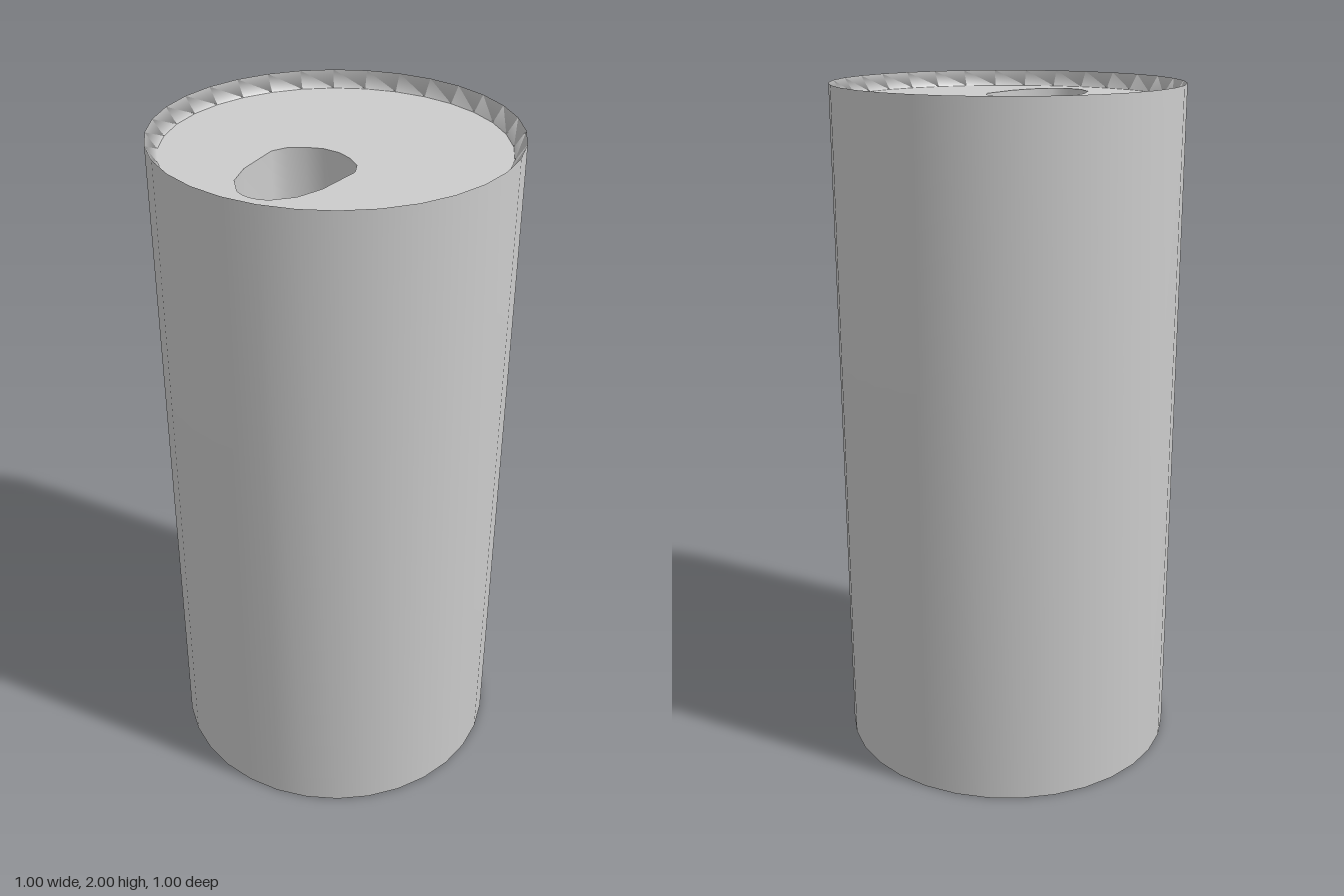
import * as THREE from 'three';

const SIDES = 32, R = 0.5, RIM = 0.47, H = 2, RECESS = 0.045, PIT_DEPTH = 0.8;

// Right half of the drinking opening as [x, z], from back to front
const HALF = [
  [0.025, 0.022], [0.07, 0.04], [0.11, 0.07], [0.13, 0.11], [0.12, 0.245],
  [0.095, 0.32], [0.05, 0.37], [0.025, 0.382],
];

// Full outline, clockwise seen from above
function openingOutline() {
  const mirrored = HALF.map(([x, z]) => [-x, z]).reverse();
  return [...HALF, [0, 0.385], ...mirrored];
}

// Well below the opening: wall ring and floor sharing smooth vertices
function wellGeometry(outline, top, depth) {
  const n = outline.length, pos = [], index = [];
  for (const y of [top, top - depth]) {
    for (const [x, z] of outline) pos.push(x, y, z);
  }
  pos.push(0, top - depth, 0.2);
  for (let i = 0; i < n; i++) {
    const j = (i + 1) % n;
    index.push(i, n + i, n + j, i, n + j, j, 2 * n, n + j, n + i);
  }
  const g = new THREE.BufferGeometry();
  g.setAttribute('position', new THREE.Float32BufferAttribute(pos, 3));
  g.setIndex(index);
  g.computeVertexNormals();
  return g;
}

export function createModel() {
  const group = new THREE.Group();
  group.name = 'can';
  const material = new THREE.MeshStandardMaterial({ color: 0xcccccc, side: THREE.DoubleSide });
  const add = (name, geometry) => {
    const mesh = new THREE.Mesh(geometry, material);
    mesh.name = name;
    group.add(mesh);
  };

  // Body: recessed base, wall and sloping top rim, shaded smoothly together
  const profile = [
    [0, RECESS], [RIM, RECESS], [R, 0], [R, H], [RIM, H - RECESS],
  ].map(([x, y]) => new THREE.Vector2(x, y));
  add('body', new THREE.LatheGeometry(profile, SIDES));

  // Flat recessed lid with the opening cut out
  const outline = openingOutline();
  const disc = new THREE.Shape();
  for (let i = 0; i < SIDES; i++) {
    const a = (i / SIDES) * Math.PI * 2;
    disc[i ? 'lineTo' : 'moveTo'](RIM * Math.cos(a), RIM * Math.sin(a));
  }
  disc.closePath();
  disc.holes.push(new THREE.Path(outline.map(([x, z]) => new THREE.Vector2(x, -z))));
  const lid = new THREE.ShapeGeometry(disc);
  lid.rotateX(-Math.PI / 2);
  lid.translate(0, H - RECESS, 0);
  add('lid', lid);

  add('openingWell', wellGeometry(outline, H - RECESS, PIT_DEPTH));
  return group;
}
